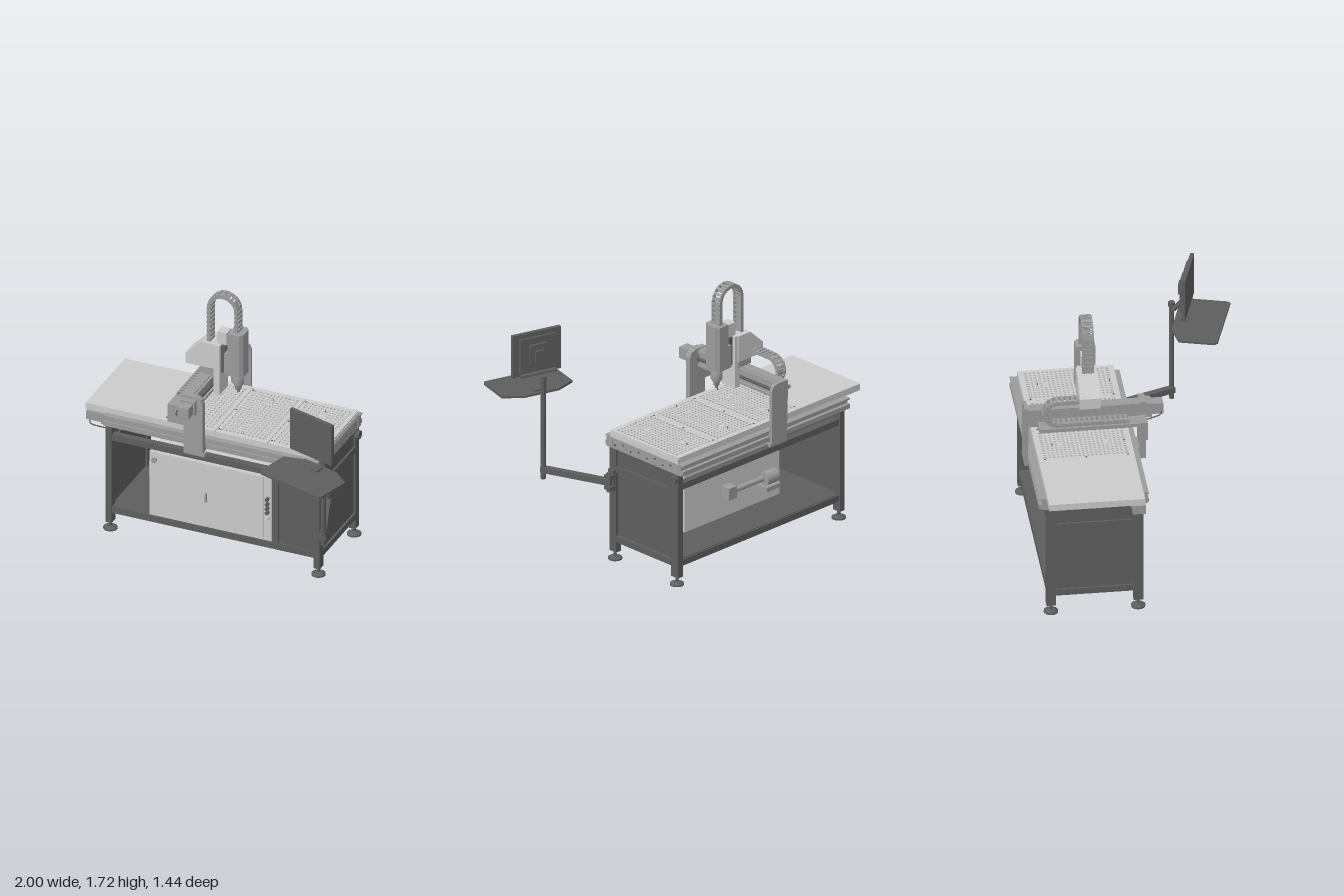
import * as THREE from 'three';

const mat = (color) => new THREE.MeshStandardMaterial({ color, side: THREE.DoubleSide });

export function createModel() {
  const root = new THREE.Group();
  root.name = 'routerTable';
  const light = mat(0xcccccc), mid = mat(0x9c9c9c), dark = mat(0x5e5e5e);

  const part = (name) => {
    const g = new THREE.Group();
    g.name = name;
    root.add(g);
    return g;
  };
  const add = (parent, name, geo, m, x = 0, y = 0, z = 0) => {
    const mesh = new THREE.Mesh(geo, m);
    mesh.name = name;
    mesh.position.set(x, y, z);
    parent.add(mesh);
    return mesh;
  };
  // Box given by its limits on each axis
  const box = (p, name, m, x0, x1, y0, y1, z0, z1) =>
    add(p, name, new THREE.BoxGeometry(x1 - x0, y1 - y0, z1 - z0), m, (x0 + x1) / 2, (y0 + y1) / 2, (z0 + z1) / 2);
  const cyl = (p, name, m, r0, r1, h, x, y, z, axis = 'y', sides = 20) => {
    const c = add(p, name, new THREE.CylinderGeometry(r0, r1, h, sides), m, x, y, z);
    if (axis === 'x') c.rotation.z = Math.PI / 2;
    if (axis === 'z') c.rotation.x = Math.PI / 2;
    return c;
  };
  // Outline in x and y, extruded from z0 to z1
  const plate = (p, name, m, pts, z0, z1) =>
    add(p, name, new THREE.ExtrudeGeometry(new THREE.Shape(pts.map(([x, y]) => new THREE.Vector2(x, y))),
      { depth: z1 - z0, bevelEnabled: false }), m, 0, 0, z0);
  // Square bar between two points
  const bar = (p, name, m, a, b, w, h) => {
    const A = new THREE.Vector3(...a), B = new THREE.Vector3(...b);
    const c = add(p, name, new THREE.BoxGeometry(w, h, A.distanceTo(B)), m);
    c.position.copy(A).add(B).multiplyScalar(0.5);
    c.lookAt(B);
    return c;
  };
  // Cable chain: side cheeks and rungs along an arch in the local xy plane
  const chain = (p, name, pathPoints, n, width, thick) => {
    const g = new THREE.Group();
    g.name = name;
    p.add(g);
    const path = new THREE.CurvePath();
    pathPoints.slice(1).forEach((q, i) => path.add(new THREE.LineCurve(pathPoints[i], q)));
    const step = path.getLength() / n;
    for (let i = 0; i < n; i++) {
      const a = path.getPointAt(i / n), b = path.getPointAt((i + 1) / n);
      const link = new THREE.Group();
      link.name = 'chainLink';
      link.position.set((a.x + b.x) / 2, (a.y + b.y) / 2, 0);
      link.rotation.z = Math.atan2(b.y - a.y, b.x - a.x);
      const l = step * 0.56, w = width / 2;
      for (const s of [-1, 1]) {
        box(link, 'cheek', mid, -l, l, -thick / 2, thick / 2, s * w - 0.004, s * w + 0.004);
        box(link, 'rung', mid, -step * 0.27, step * 0.27, s * thick / 2 - 0.003, s * thick / 2 + 0.003, -w, w);
      }
      g.add(link);
    }
    return g;
  };
  const arc = (cx, cy, r, a0, a1, n = 16) => Array.from({ length: n + 1 }, (_, i) => {
    const a = a0 + (a1 - a0) * i / n;
    return new THREE.Vector2(cx + r * Math.cos(a), cy + r * Math.sin(a));
  });

  // Steel frame: legs, levelling feet, rails and end panels
  const frame = part('frame');
  for (const [x0, x1] of [[-0.865, -0.822], [0.548, 0.59]]) {
    const xc = (x0 + x1) / 2;
    for (const [z0, z1] of [[-0.11, -0.05], [-0.655, -0.595]]) {
      const zc = (z0 + z1) / 2;
      box(frame, 'leg', dark, x0, x1, 0.055, 0.757, z0, z1);
      cyl(frame, 'footStem', dark, 0.01, 0.01, 0.05, xc, 0.04, zc);
      cyl(frame, 'footPad', dark, 0.02, 0.045, 0.014, xc, 0.017, zc);
      cyl(frame, 'footBase', dark, 0.045, 0.045, 0.01, xc, 0.005, zc);
    }
    for (const [y0, y1] of [[0.126, 0.168], [0.6, 0.645]]) box(frame, 'endRail', dark, x0, x1, y0, y1, -0.6, -0.1);
    box(frame, 'endPanel', dark, xc - 0.008, xc + 0.012, 0.176, 0.592, -0.587, -0.118);
    box(frame, 'endPanelBacking', dark, xc - 0.008, xc, 0.168, 0.6, -0.6, -0.1);
    box(frame, 'upperEndPanel', dark, xc - 0.008, xc + 0.008, 0.645, 0.75, -0.595, -0.11);
  }
  for (const [z0, z1] of [[-0.1, -0.055], [-0.65, -0.605]])
    for (const [y0, y1] of [[0.126, 0.168], [0.645, 0.687]]) box(frame, 'longRail', dark, -0.822, 0.548, y0, y1, z0, z1);
  for (const x of [-0.48, -0.137, 0.206]) box(frame, 'shelfBeam', dark, x - 0.02, x + 0.02, 0.13, 0.166, -0.605, -0.1);
  box(frame, 'shelf', dark, -0.822, 0.548, 0.164, 0.172, -0.64, -0.06);
  box(frame, 'frontPanel', dark, 0.325, 0.545, 0.176, 0.64, -0.07, -0.06);
  box(frame, 'frontPanelPost', dark, 0.262, 0.305, 0.172, 0.645, -0.1, -0.058);
  box(frame, 'frontPanelBacking', dark, 0.3, 0.55, 0.172, 0.645, -0.08, -0.07);

  // Control cabinet with door, handle, buttons and the pump behind
  const cab = part('controlCabinet');
  box(cab, 'cabinetBody', light, -0.57, 0.26, 0.173, 0.628, -0.38, -0.06);
  box(cab, 'cabinetDoor', light, -0.5, 0.205, 0.185, 0.625, -0.062, -0.054);
  box(cab, 'doorHandle', mid, -0.186, -0.176, 0.36, 0.42, -0.055, -0.04);
  box(cab, 'sideBox', mid, -0.583, -0.57, 0.435, 0.54, -0.2, -0.08);
  cyl(cab, 'roundLock', mid, 0.018, 0.018, 0.014, -0.535, 0.572, -0.054, 'z');
  [0.475, 0.44, 0.41, 0.38, 0.34].forEach((y, i) =>
    cyl(cab, 'button', i === 4 ? light : dark, 0.012, 0.012, 0.03, 0.235, y, -0.05, 'z', 14));
  cyl(cab, 'pumpMotor', mid, 0.045, 0.045, 0.1, -0.43, 0.35, -0.43, 'x');
  box(cab, 'pumpBase', mid, -0.48, -0.36, 0.28, 0.31, -0.48, -0.38);
  cyl(cab, 'pumpPipe', mid, 0.018, 0.018, 0.28, -0.24, 0.35, -0.42, 'x');
  box(cab, 'pumpInlet', mid, -0.13, -0.06, 0.31, 0.39, -0.45, -0.38);

  // Bed: side rails, cross members and slab
  const bed = part('bed');
  for (const [z0, z1, out] of [[-0.08, -0.025, -0.016], [-0.68, -0.625, -0.702]]) {
    box(bed, 'sideRail', mid, -0.865, 0.59, 0.757, 0.83, z0, z1);
    box(bed, 'guideRail', mid, -0.865, 0.588, 0.765, 0.795, Math.min(out, z0), Math.max(out, z1));
    box(bed, 'railCover', mid, -0.865, 0.59, 0.825, 0.835, Math.min(out, z0), Math.max(out, z1));
  }
  for (const x of [-0.865, -0.38, 0.1, 0.56]) box(bed, 'crossMember', mid, x, x + 0.028, 0.757, 0.83, -0.65, -0.05);
  for (let i = 0; i < 8; i++) cyl(bed, 'endBolt', dark, 0.006, 0.006, 0.01, 0.59, i % 2 ? 0.805 : 0.785, -0.1 - i * 0.07, 'x', 8);
  box(bed, 'slab', light, -1, 0.59, 0.83, 0.863, -0.655, -0.055);
  box(bed, 'plainTop', light, -1, -0.478, 0.863, 0.874, -0.655, -0.055);
  box(bed, 'driveMotor', mid, -0.995, -0.89, 0.762, 0.822, -0.13, -0.05);
  box(bed, 'driveFlange', mid, -0.89, -0.865, 0.757, 0.83, -0.14, -0.04);
  const cable = new THREE.CatmullRomCurve3([[-0.98, 0.77, -0.09], [-0.985, 0.715, -0.09], [-0.93, 0.705, -0.09], [-0.86, 0.705, -0.09]]
    .map((q) => new THREE.Vector3(...q)));
  add(bed, 'motorCable', new THREE.TubeGeometry(cable, 16, 0.004, 8), dark);
  cyl(bed, 'endKnob', dark, 0.028, 0.028, 0.02, 0.6, 0.72, -0.625, 'x');

  // Three vacuum panels: a border with a lattice of shallow pockets
  const panels = part('vacuumPanels');
  for (let k = 0; k < 3; k++) {
    const x0 = -0.478 + k * 0.356, x1 = x0 + 0.352, y0 = 0.863, y1 = 0.874;
    for (const [a, b] of [[x0, x0 + 0.025], [x1 - 0.025, x1]]) box(panels, 'panelBorder', light, a, b, y0, y1, -0.655, -0.055);
    for (const z of [-0.655, -0.09]) box(panels, 'panelBorder', light, x0, x1, y0, y1, z, z + 0.035);
    for (let i = 1; i < 12; i++) {
      const x = x0 + 0.025 + i * 0.302 / 12;
      box(panels, 'latticeBar', light, x - 0.006, x + 0.006, y0, y1, -0.62, -0.09);
    }
    for (let i = 1; i < 20; i++) {
      const z = -0.62 + i * 0.53 / 20;
      box(panels, 'latticeBar', light, x0 + 0.025, x1 - 0.025, y0, y1, z - 0.006, z + 0.006);
    }
    for (const z of [-0.615, -0.355, -0.095]) cyl(panels, 'bolt', dark, 0.006, 0.006, 0.004, x0 + 0.012, 0.875, z, 'y', 8);
    for (const z of [-0.5, -0.215]) cyl(panels, 'port', light, 0.018, 0.018, 0.012, x0 + 0.175, 0.869, z);
    for (const z of [-0.1, -0.55]) cyl(panels, 'pin', dark, 0.003, 0.003, 0.012, x0 + 0.175, 0.88, z, 'y', 8);
  }

  // Gantry: two uprights, crossbeam with linear rails, cable tray and motor
  const gantry = part('gantry');
  const upright = [[-0.295, 0.73], [-0.152, 0.73], [-0.152, 0.752], [-0.165, 0.752], [-0.165, 1.1],
    [-0.178, 1.132], [-0.208, 1.145], [-0.305, 1.145], [-0.305, 1.055]];
  plate(gantry, 'frontUpright', mid, [...upright, [-0.405, 1.055], [-0.405, 0.93], [-0.295, 0.93]], 0, 0.038);
  plate(gantry, 'backUpright', mid, upright, -0.72, -0.698);
  box(gantry, 'crossbeam', mid, -0.31, -0.245, 1.02, 1.14, -0.7, 0);
  for (const y of [1.028, 1.118]) box(gantry, 'linearRail', mid, -0.245, -0.228, y, y + 0.016, -0.695, 0);
  cyl(gantry, 'ballScrew', dark, 0.01, 0.01, 0.69, -0.23, 1.08, -0.35, 'z');
  box(gantry, 'cableTray', mid, -0.405, -0.31, 1.03, 1.053, -0.64, 0.035);
  box(gantry, 'motorFlange', mid, -0.3, -0.205, 1.03, 1.13, 0.038, 0.075);
  box(gantry, 'gantryMotor', mid, -0.287, -0.213, 1.043, 1.118, 0.075, 0.148);
  for (const z of [-0.035, -0.685]) box(gantry, 'bedCarriage', mid, -0.29, -0.17, 0.75, 0.81, z - (z < -0.1 ? 0.015 : 0), z + (z < -0.1 ? 0 : 0.036));
  const feed = new THREE.CatmullRomCurve3([[-0.25, 1.08, 0.14], [-0.3, 1.05, 0.13], [-0.325, 1.04, 0.07], [-0.33, 1.03, 0.03]]
    .map((q) => new THREE.Vector3(...q)));
  add(gantry, 'gantryCable', new THREE.TubeGeometry(feed, 16, 0.004, 8), dark);

  // Carriage and tool head
  const head = part('toolHead');
  plate(head, 'carriageHousing', light, [[-0.415, 1.19], [-0.2, 1.19], [-0.2, 1.365], [-0.305, 1.365], [-0.415, 1.262]], -0.39, -0.262);
  box(head, 'carriageFoot', mid, -0.32, -0.2, 1.145, 1.19, -0.38, -0.262);
  box(head, 'carriagePlate', light, -0.22, -0.18, 1.015, 1.365, -0.38, -0.255);
  for (const z of [-0.36, -0.295]) box(head, 'slideRail', dark, -0.18, -0.15, 1.17, 1.36, z, z + 0.02);
  box(head, 'slideBlock', dark, -0.165, -0.125, 1.19, 1.31, -0.37, -0.265);
  box(head, 'backPlate', mid, -0.15, -0.125, 1.17, 1.32, -0.38, -0.255);
  box(head, 'liftMotor', light, -0.21, -0.145, 1.365, 1.45, -0.355, -0.285);
  plate(head, 'spindleHousing', mid, [[-0.125, 0.255], [-0.125, 0.38], [-0.05, 0.38], [-0.028, 0.358], [-0.028, 0.277], [-0.05, 0.255]], 1.168, 1.467)
    .rotation.x = -Math.PI / 2;
  head.children.at(-1).position.set(0, 1.168, 0);
  const profile = [[0, 1.035], [0.01, 1.035], [0.01, 1.05], [0.02, 1.055], [0.02, 1.07], [0.036, 1.095], [0.036, 1.17], [0, 1.17]];
  add(head, 'spindle', new THREE.LatheGeometry(profile.map(([x, y]) => new THREE.Vector2(x, y)), 24), mid, -0.08, 0, -0.318);

  // Cable chains: arch above the head, and the loop lying in the tray
  const chains = part('cableChains');
  chain(chains, 'headChain', [new THREE.Vector2(-0.268, 1.36), ...arc(-0.175, 1.61, 0.093, Math.PI, 0), new THREE.Vector2(-0.082, 1.46)],
    22, 0.064, 0.022).position.z = -0.32;
  const tray = chain(chains, 'trayChain', [new THREE.Vector2(0.38, 1.227), ...arc(0.525, 1.147, 0.08, Math.PI / 2, -Math.PI / 2),
    new THREE.Vector2(0.08, 1.067)], 26, 0.062, 0.024);
  tray.rotation.y = Math.PI / 2;
  tray.position.x = -0.358;

  // Swing arm and post
  const arm = part('swingArm');
  box(arm, 'armBracket', dark, 0.59, 0.61, 0.47, 0.62, -0.105, -0.06);
  for (const y of [0.49, 0.565]) box(arm, 'hingeLug', dark, 0.6, 0.645, y, y + 0.025, -0.11, -0.06);
  cyl(arm, 'hingePin', dark, 0.014, 0.014, 0.13, 0.628, 0.54, -0.085);
  bar(arm, 'armBeam', dark, [0.622, 0.542, -0.1], [0.788, 0.542, 0.35], 0.04, 0.038);
  cyl(arm, 'post', dark, 0.016, 0.016, 0.7, 0.786, 0.83, 0.335);
  cyl(arm, 'postCap', dark, 0.021, 0.021, 0.03, 0.786, 1.165, 0.335);

  // Keyboard tray
  const desk = part('keyboardTray');
  plate(desk, 'trayBoard', dark, [[0.46, -0.56], [0.52, -0.345], [0.665, -0.32], [0.9, -0.39], [1, -0.485], [0.938, -0.705],
    [0.92, -0.72], [0.475, -0.585]], 0, 0.014).rotation.x = -Math.PI / 2;
  desk.children[0].position.y = 1.046;

  // Monitor on a tilted stand
  const monitor = part('monitor');
  monitor.position.set(0.755, 0, 0.425);
  monitor.rotation.y = -0.29;
  box(monitor, 'screen', dark, -0.17, 0.17, 1.16, 1.445, -0.005, 0.02);
  box(monitor, 'rearShell', dark, -0.125, 0.125, 1.19, 1.415, -0.02, -0.005);
  box(monitor, 'rearHub', dark, -0.06, 0.06, 1.23, 1.37, -0.035, -0.02);
  box(monitor, 'mountPlate', dark, -0.03, 0.03, 1.26, 1.33, -0.05, -0.035);
  bar(monitor, 'standNeck', dark, [0.012, 1.065, -0.02], [0.005, 1.29, -0.06], 0.026, 0.016);
  box(monitor, 'standFoot', dark, -0.02, 0.04, 1.06, 1.07, -0.05, 0.01);

  return root;
}
